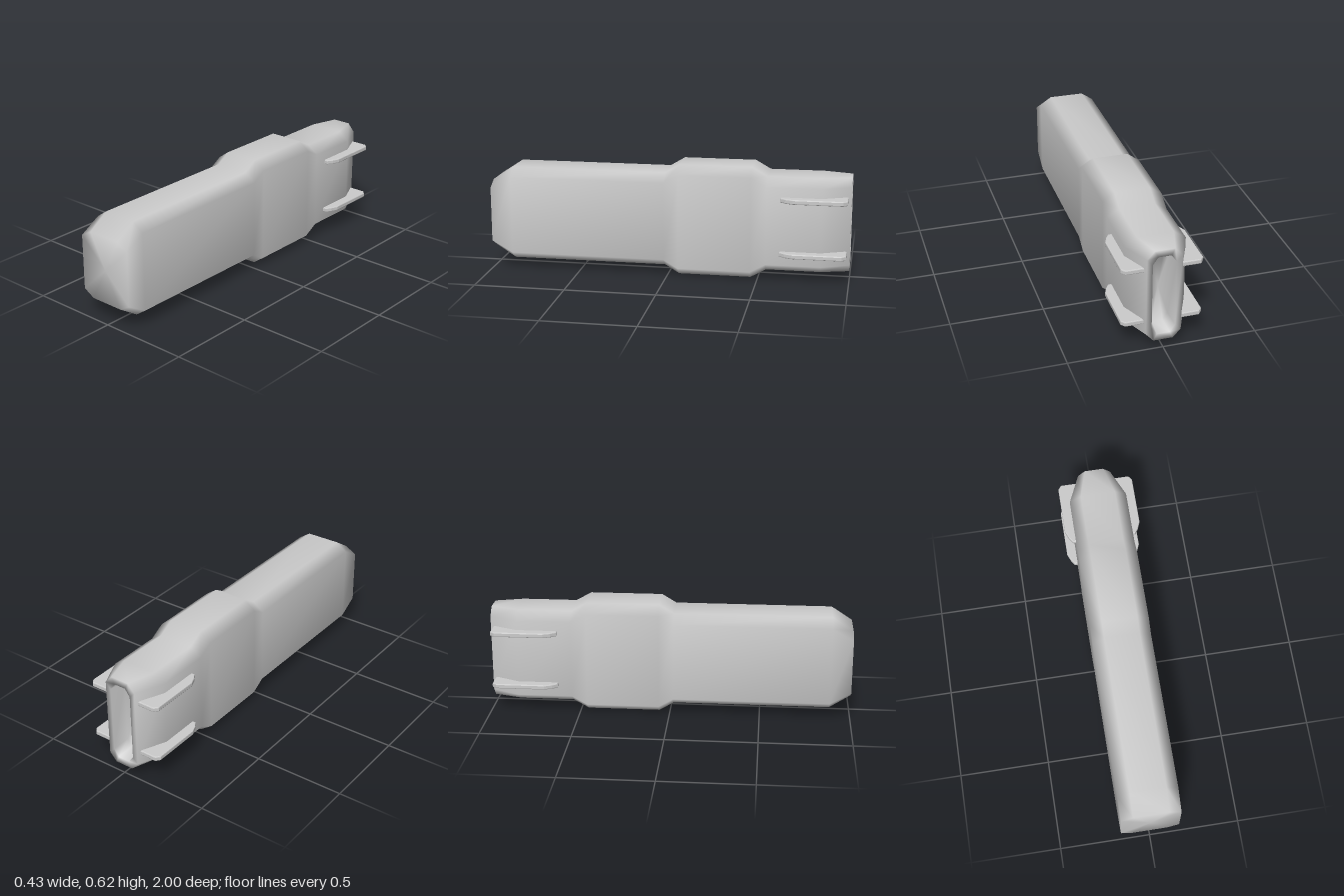
import * as THREE from 'three';

// Eight-sided section, counter-clockwise seen from the front
function octagon(z, hw, y0, y1, cx, cy) {
  const ix = hw - cx;
  return [
    [hw, y0 + cy], [hw, y1 - cy], [ix, y1], [-ix, y1],
    [-hw, y1 - cy], [-hw, y0 + cy], [-ix, y0], [ix, y0],
  ].map(([x, y]) => [x, y, z]);
}

// Skin a list of sections, front to back, closing both ends with a fan
function loft(rings) {
  const n = rings[0].length;
  const pos = rings.flat(2);
  const idx = [];
  for (let i = 0; i < rings.length - 1; i++) {
    for (let j = 0; j < n; j++) {
      const a = i * n + j, d = i * n + (j + 1) % n;
      idx.push(a, a + n, d + n, a, d + n, d);
    }
  }
  const cap = (ring, flip) => {
    const c = pos.length / 3, s = ring * n;
    pos.push(0, 0.311, rings[ring][0][2]);
    for (let j = 0; j < n; j++) {
      const k = (j + 1) % n;
      idx.push(c, s + (flip ? k : j), s + (flip ? j : k));
    }
  };
  cap(0, false);
  cap(rings.length - 1, true);
  const geo = new THREE.BufferGeometry();
  geo.setAttribute('position', new THREE.Float32BufferAttribute(pos, 3));
  geo.setIndex(idx);
  geo.computeVertexNormals();
  return geo;
}

export function createModel() {
  const group = new THREE.Group();
  const material = new THREE.MeshStandardMaterial({ color: 0xcccccc });

  // Body: blunt nose, raised middle band, tapered tail with a slot sunk into it
  const sections = [
    [1, 0.161, 0.123, 0.499, 0.064, 0.036],
    [0.885, 0.161, 0.048, 0.574, 0.064, 0.045],
    [0.02, 0.161, 0.048, 0.574, 0.064, 0.045],
    [-0.06, 0.161, 0, 0.622, 0.064, 0.046],
    [-0.46, 0.161, 0, 0.622, 0.064, 0.046],
    [-0.545, 0.161, 0.048, 0.574, 0.064, 0.045],
    [-0.845, 0.161, 0.048, 0.574, 0.064, 0.045],
    [-1, 0.092, 0.048, 0.574, 0.04, 0.045],
    [-1, 0.062, 0.085, 0.537, 0.028, 0.04],
    [-0.9, 0.055, 0.095, 0.527, 0.026, 0.038],
  ];
  const body = new THREE.Mesh(loft(sections.map((s) => octagon(...s))), material);
  body.name = 'body';
  group.add(body);

  // Side fins: thin plates, outline in x and z, two on each side
  const outline = [
    [0.1, 0.62], [0.178, 0.62], [0.198, 0.65], [0.214, 0.69],
    [0.214, 0.96], [0.196, 0.983], [0.1, 0.983],
  ];
  for (const side of [1, -1]) {
    const pts = outline.map(([x, z]) => new THREE.Vector2(x * side, z));
    const geo = new THREE.ExtrudeGeometry(new THREE.Shape(pts), {
      depth: 0.016, bevelEnabled: true, bevelThickness: 0.005,
      bevelSize: 0.005, bevelOffset: -0.005, bevelSegments: 2,
    });
    geo.translate(0, 0, -0.008);
    geo.rotateX(-Math.PI / 2);
    for (const y of [0.16, 0.463]) {
      const fin = new THREE.Mesh(geo, material);
      fin.name = (side > 0 ? 'left' : 'right') + (y > 0.3 ? 'UpperFin' : 'LowerFin');
      fin.position.y = y;
      group.add(fin);
    }
  }
  return group;
}
